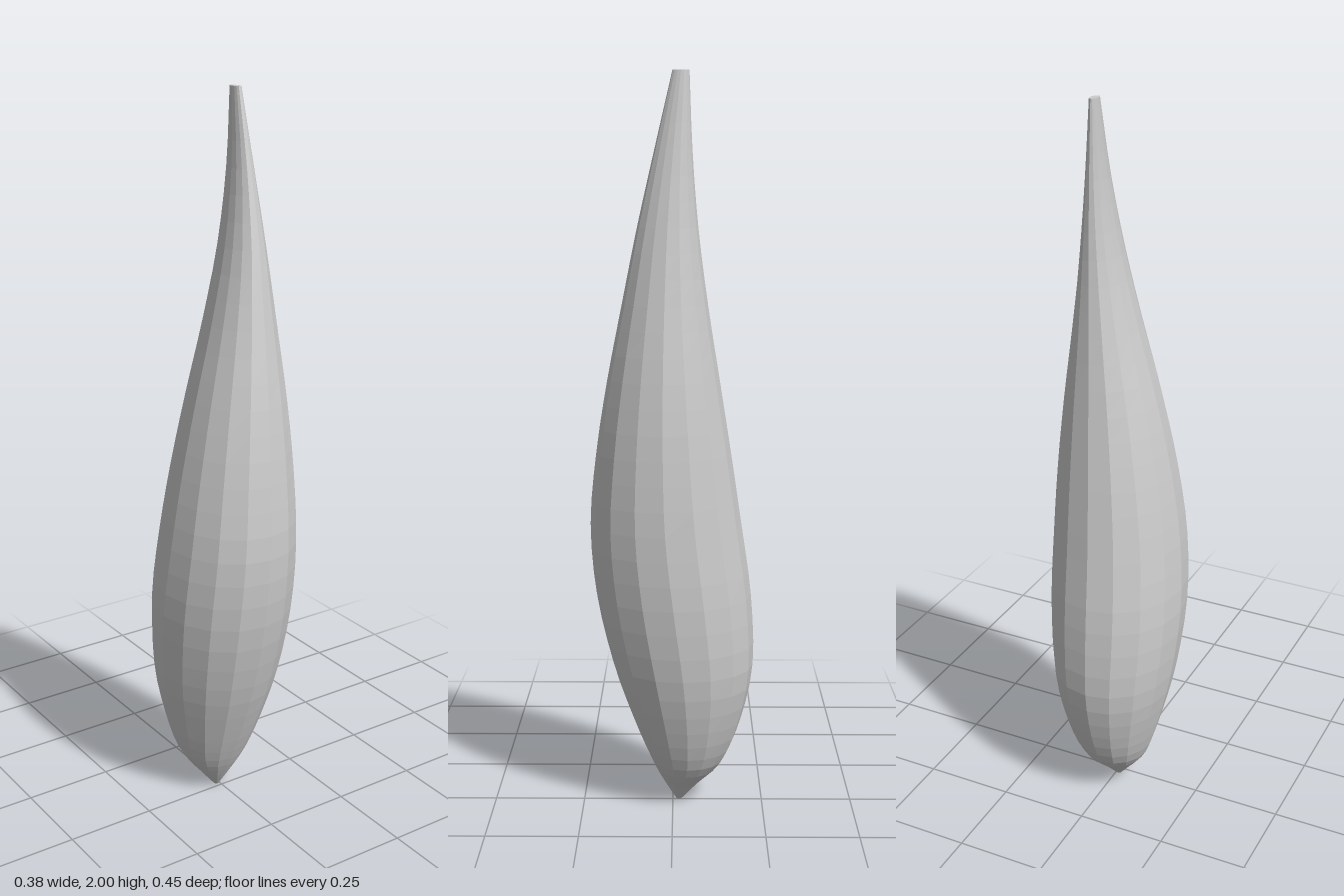
import * as THREE from 'three';

// Height, then the extents of each elliptical ring: [y, xMin, xMax, zMin, zMax]
const RINGS = [
  [0, -0.015, 0.0, -0.025, -0.01],
  [0.05, -0.055, 0.037, -0.072, 0.022],
  [0.12, -0.105, 0.09, -0.14, 0.06],
  [0.24, -0.142, 0.134, -0.19, 0.11],
  [0.4, -0.175, 0.17, -0.222, 0.165],
  [0.6, -0.19, 0.187, -0.215, 0.21],
  [0.8, -0.177, 0.187, -0.187, 0.225],
  [1.0, -0.145, 0.177, -0.157, 0.207],
  [1.2, -0.1, 0.158, -0.125, 0.175],
  [1.4, -0.047, 0.132, -0.093, 0.135],
  [1.6, 0.0, 0.107, -0.067, 0.094],
  [1.8, 0.031, 0.085, -0.051, 0.048],
  [2.0, 0.046, 0.067, -0.043, 0.001],
];

// Smooth curve through one point per ring, sharing one parameter
const curveOf = (pick) => new THREE.CatmullRomCurve3(
  RINGS.map((r) => new THREE.Vector3(...pick(r))), false, 'catmullrom', 0.5);

export function createModel() {
  const group = new THREE.Group();
  group.name = 'taperedPod';

  const centres = curveOf(([y, x0, x1, z0, z1]) => [(x0 + x1) / 2, y, (z0 + z1) / 2]);
  const radii = curveOf(([y, x0, x1, z0, z1]) => [(x1 - x0) / 2, y, (z1 - z0) / 2]);

  // Unit cylinder with end caps, bent and swollen ring by ring
  const geometry = new THREE.CylinderGeometry(1, 1, 1, 16, 36);
  const pos = geometry.attributes.position;
  for (let i = 0; i < pos.count; i++) {
    const t = THREE.MathUtils.clamp(pos.getY(i) + 0.5, 0, 1);
    const c = centres.getPoint(t);
    const r = radii.getPoint(t);
    pos.setXYZ(i, c.x + pos.getX(i) * r.x, c.y, c.z + pos.getZ(i) * r.z);
  }
  geometry.computeVertexNormals();

  const body = new THREE.Mesh(geometry,
    new THREE.MeshStandardMaterial({ color: 0xcccccc, flatShading: true }));
  body.name = 'podBody';
  group.add(body);
  return group;
}
